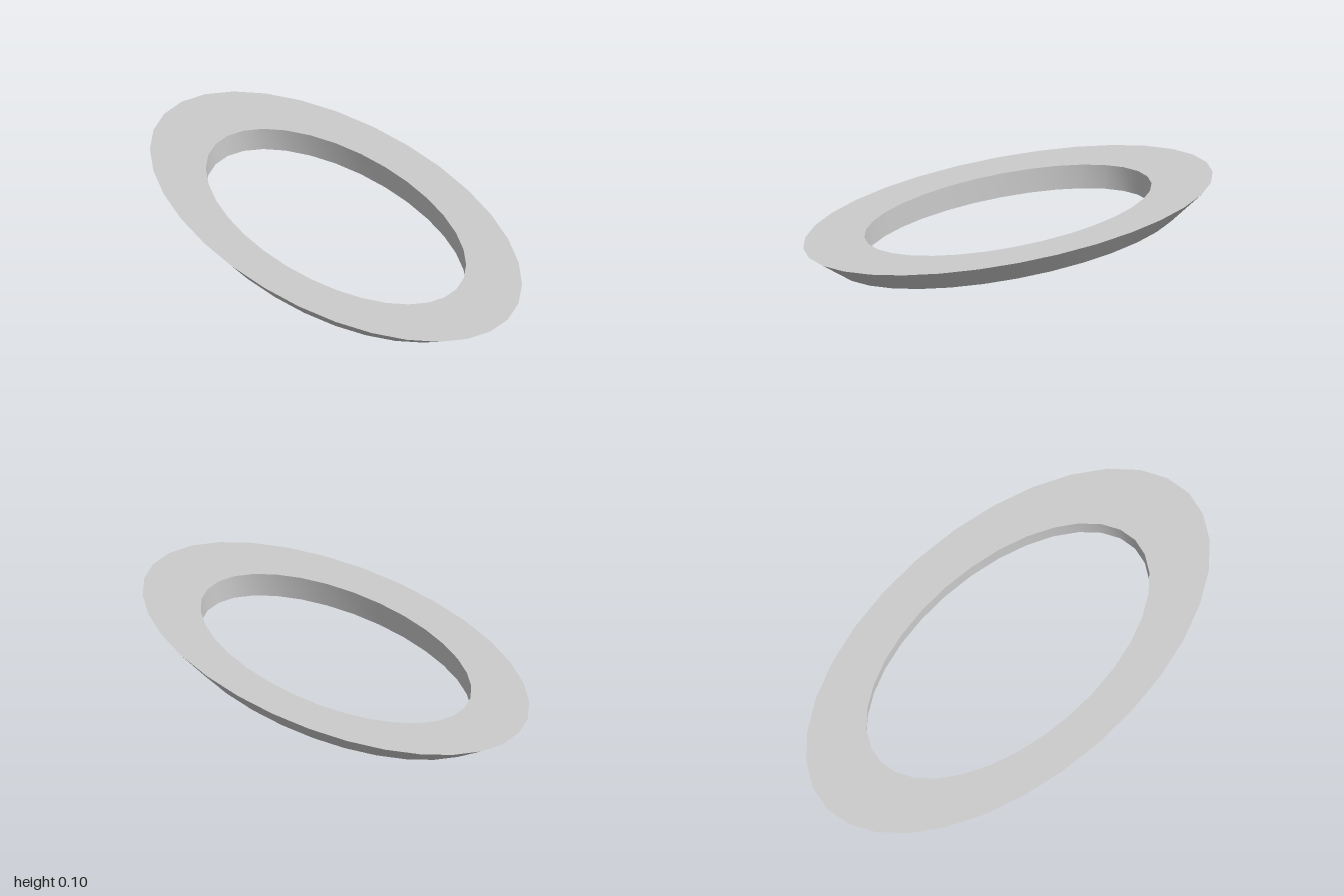
import * as THREE from 'three';

const SEGMENTS = 32;

// Elliptical rims [x radius, z radius, height], in order around the ring's section
const RIMS = {
  outerBottom: [0.844, 0.458, 0],
  outerTop: [1, 0.54, 0.102],
  innerTop: [0.703, 0.373, 0.102],
  innerBottom: [0.703, 0.373, 0],
};

// Closed band between two rims; the seam shares vertices so it shades smoothly
function bandGeometry(from, to) {
  const positions = [];
  const index = [];
  for (let i = 0; i < SEGMENTS; i++) {
    const angle = (i / SEGMENTS) * Math.PI * 2;
    for (const [rx, rz, y] of [from, to]) {
      positions.push(rx * Math.cos(angle), y, rz * Math.sin(angle));
    }
    const a = i * 2;
    const next = ((i + 1) % SEGMENTS) * 2;
    index.push(a, a + 1, next + 1, a, next + 1, next);
  }
  const geometry = new THREE.BufferGeometry();
  geometry.setAttribute('position', new THREE.Float32BufferAttribute(positions, 3));
  geometry.setIndex(index);
  geometry.computeVertexNormals();
  return geometry;
}

export function createModel() {
  const group = new THREE.Group();
  group.name = 'ovalRing';
  const material = new THREE.MeshStandardMaterial({ color: 0xcccccc });

  // Separate bands keep the rim edges crisp
  const bands = [
    ['slopedOuterWall', RIMS.outerBottom, RIMS.outerTop],
    ['topFace', RIMS.outerTop, RIMS.innerTop],
    ['innerWall', RIMS.innerTop, RIMS.innerBottom],
    ['bottomFace', RIMS.innerBottom, RIMS.outerBottom],
  ];
  for (const [name, from, to] of bands) {
    const mesh = new THREE.Mesh(bandGeometry(from, to), material);
    mesh.name = name;
    group.add(mesh);
  }
  return group;
}
